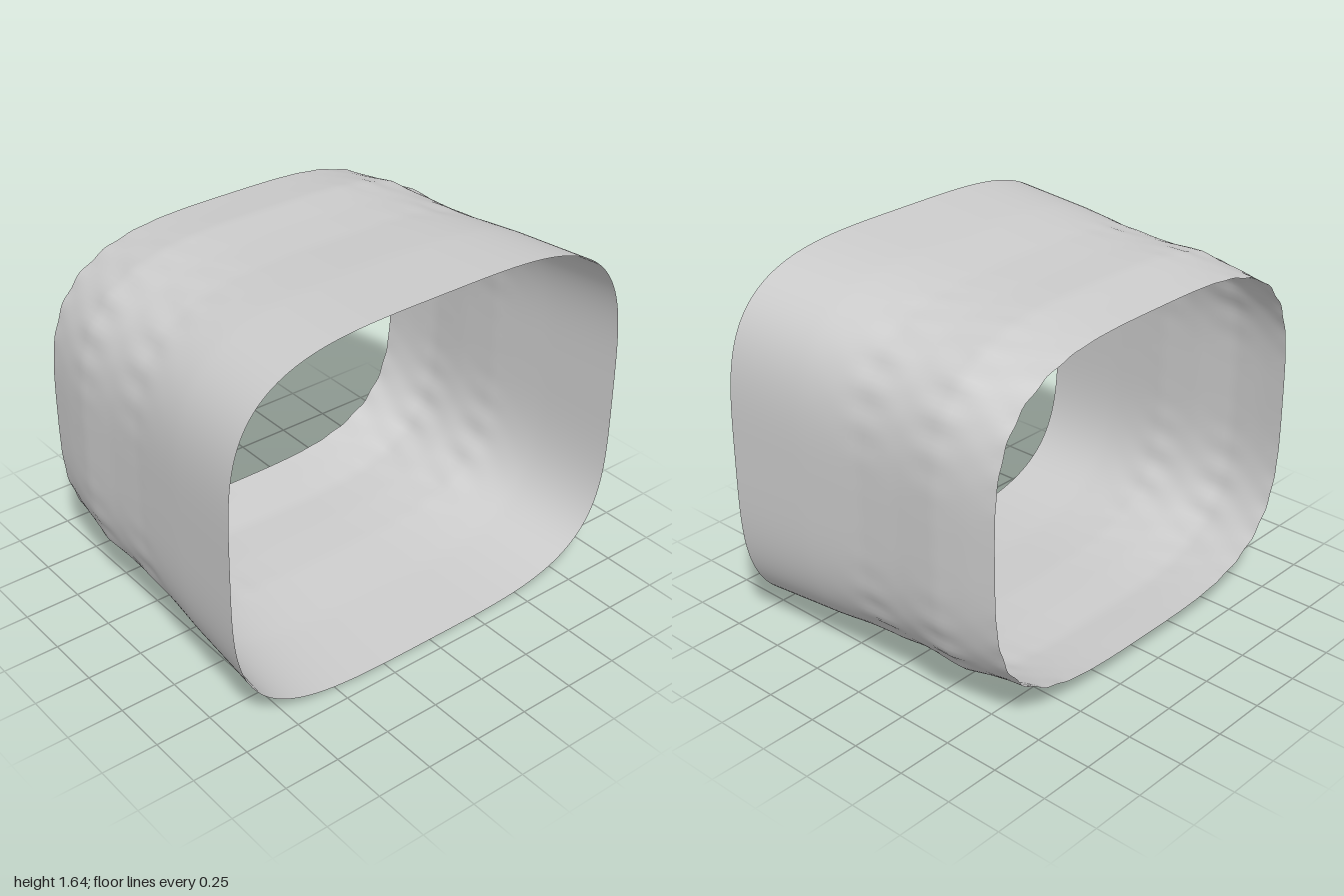
import * as THREE from 'three';

const SEGMENTS = 240, RINGS = 48, DEPTH = 0.68, CENTRE_Y = 0.82;

// Sleeve stations from back to front: [z, half width, half height]
const STATIONS = [
  [-0.68, 0.915, 0.737], [-0.55, 0.933, 0.752], [-0.4, 0.949, 0.772], [-0.2, 0.946, 0.77],
  [0, 0.95, 0.775], [0.3, 0.975, 0.802], [0.68, 1, 0.82],
];

function halfSizes(z) {
  let k = 0;
  while (k < STATIONS.length - 2 && z > STATIONS[k + 1][0]) k++;
  const [z0, w0, h0] = STATIONS[k], [z1, w1, h1] = STATIONS[k + 1];
  const t = (z - z0) / (z1 - z0);
  return [THREE.MathUtils.lerp(w0, w1, t), THREE.MathUtils.lerp(h0, h1, t)];
}

// Small dents pressed into the four corners, fading out towards the front
function ripple(angle, z) {
  const c = Math.atan2(Math.abs(Math.sin(angle)), Math.abs(Math.cos(angle))) - 0.67;
  const corner = Math.exp(-((c / 0.3) ** 2));
  const fade = 1 - THREE.MathUtils.smoothstep(z, -0.1, 0.3);
  const alongZ = 0.4 + 0.6 * Math.cos((2 * Math.PI * (z + 0.02)) / 0.36);
  return 0.008 * corner * fade * alongZ * Math.cos(42 * c);
}

// Rounded-rectangle rings joined into an open tube
function sleeveGeometry() {
  const positions = [], indices = [];
  for (let i = 0; i <= RINGS; i++) {
    const z = -DEPTH + (2 * DEPTH * i) / RINGS;
    const [w, h] = halfSizes(z);
    const n = THREE.MathUtils.lerp(3.4, 3.8, i / RINGS);
    for (let j = 0; j < SEGMENTS; j++) {
      const a = (j / SEGMENTS) * Math.PI * 2;
      const c = Math.cos(a), s = Math.sin(a);
      const r = (Math.abs(c / w) ** n + Math.abs(s / h) ** n) ** (-1 / n) + ripple(a, z);
      positions.push(r * c, CENTRE_Y + r * s, z);
      if (i < RINGS) {
        const p = i * SEGMENTS + j, q = i * SEGMENTS + ((j + 1) % SEGMENTS);
        indices.push(p, q, p + SEGMENTS, q, q + SEGMENTS, p + SEGMENTS);
      }
    }
  }
  const geometry = new THREE.BufferGeometry();
  geometry.setAttribute('position', new THREE.Float32BufferAttribute(positions, 3));
  geometry.setIndex(indices);
  geometry.computeVertexNormals();
  return geometry;
}

export function createModel() {
  const group = new THREE.Group();
  group.name = 'openSleeve';
  const material = new THREE.MeshStandardMaterial({ color: 0xcccccc, side: THREE.DoubleSide });
  const sleeve = new THREE.Mesh(sleeveGeometry(), material);
  sleeve.name = 'sleeve';
  group.add(sleeve);
  return group;
}
